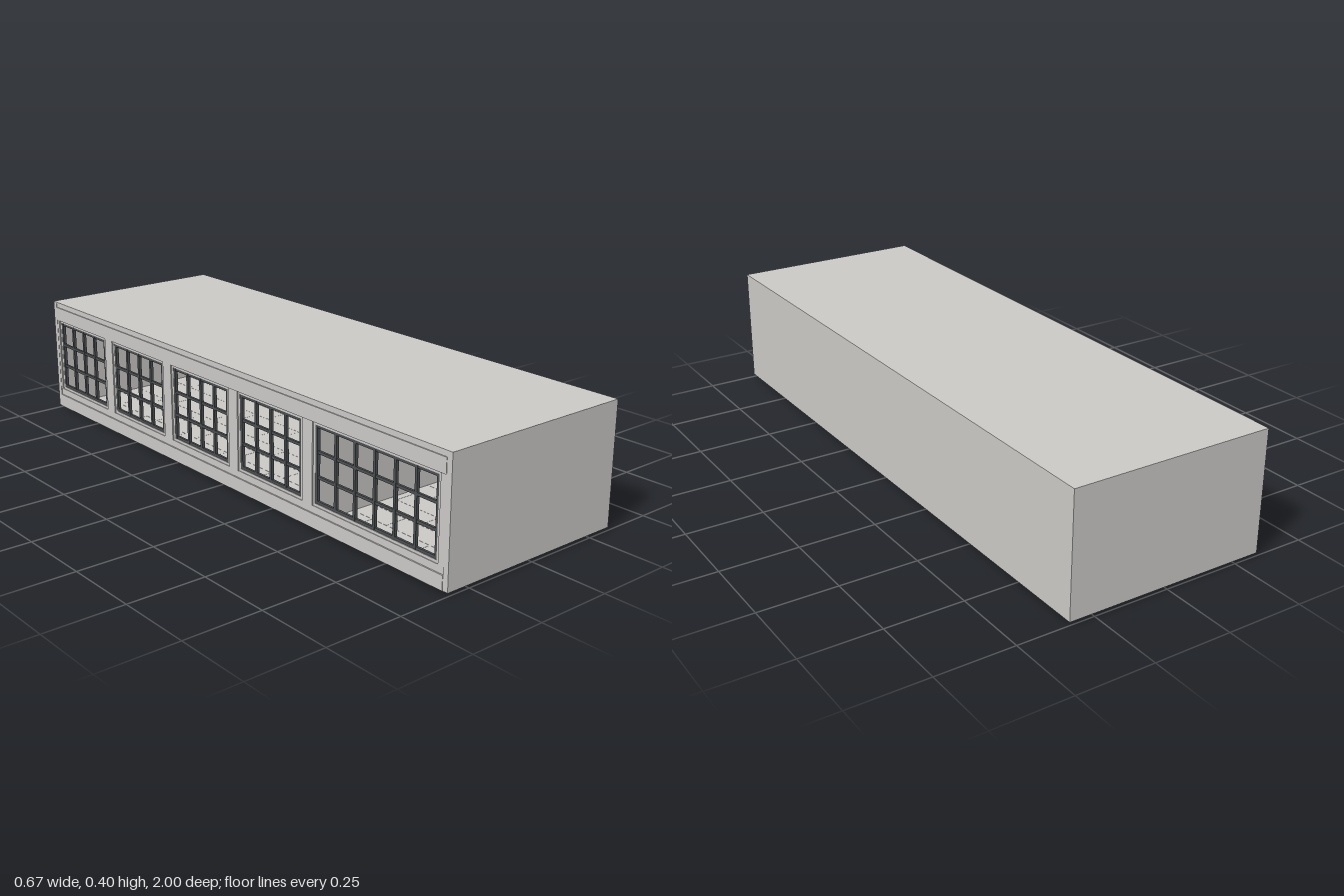
import * as THREE from 'three';

export function createModel() {
  const model = new THREE.Group();
  const plaster = new THREE.MeshStandardMaterial({ color: 0xcac9c6 });
  plaster.name = 'pale plaster';
  const darkBar = new THREE.MeshStandardMaterial({ color: 0x4c4f52 });
  darkBar.name = 'dark window bar';

  // Box given by its lower and upper corners
  function box(name, x0, x1, y0, y1, z0, z1, material = plaster, parent = model) {
    const mesh = new THREE.Mesh(new THREE.BoxGeometry(x1 - x0, y1 - y0, z1 - z0), material);
    mesh.position.set((x0 + x1) / 2, (y0 + y1) / 2, (z0 + z1) / 2);
    mesh.name = name;
    parent.add(mesh);
    return mesh;
  }

  const W = 0.332, base = 0.01, wallTop = 0.4, T = 0.019;

  // Roof, end walls and solid long wall in two lengths
  box('roof', -W, W, wallTop, 0.404, -1, 1);
  box('frontWall', -W, W - 0.004, base, wallTop, 1 - T, 1);
  box('backWall', -W, W - 0.004, base, wallTop, -1, -1 + T);
  box('longWallFront', W - T, W, base, wallTop, 0.44, 1 - T);
  box('longWallBack', W - T, W, base, wallTop, -1 + T, 0.44);
  for (const s of [-1, 1]) {
    box('cornerStrip', W - 0.004, W, base, wallTop, Math.min(s, s * (1 - T)), Math.max(s, s * (1 - T)));
  }

  // Partition between the two rooms
  box('partition', -W + T, W - T, base, wallTop, 0.415, 0.435);

  // Floor of staggered planks on a thin underlay
  const floor = new THREE.Group();
  floor.name = 'floor';
  model.add(floor);
  const FX = 0.313, FZ = 0.981, rows = 8, plank = 0.24, gap = 0.0008;
  box('underlay', -FX, FX, 0.0015, 0.0085, -FZ, FZ, plaster, floor);
  for (let i = 0; i < rows; i++) {
    const x0 = -FX + (i * 2 * FX) / rows, x1 = x0 + (2 * FX) / rows;
    const shift = ((i * 3) % 4) * plank / 4;
    for (let z = -FZ - shift; z < FZ; z += plank) {
      const z0 = Math.max(z, -FZ), z1 = Math.min(z + plank, FZ);
      if (z1 - z0 < 0.01) continue;
      box('plank', x0 + gap / 2, x1 - gap / 2, 0, 0.0102, z0 + gap / 2, z1 - gap / 2, plaster, floor);
    }
  }

  // Window wall: header, rails and sill wall
  const windowWall = new THREE.Group();
  windowWall.name = 'windowWall';
  model.add(windowWall);
  const E = 1 - T, out = -W - 0.0015, sill = 0.078, head = 0.338;
  box('header', -W + 0.002, -W + T, head, wallTop, -E, E, plaster, windowWall);
  box('topRail', out, -W + 0.002, head, 0.385, -E, E, plaster, windowWall);
  box('sillWall', -W + 0.003, -W + T, base, sill, -E, E, plaster, windowWall);
  box('bottomRail', out, -W + 0.003, base, 0.055, -E, E, plaster, windowWall);

  // Openings: start z, end z, number of pane columns
  const windows = [
    [-0.97, -0.66, 4], [-0.615, -0.305, 4], [-0.26, 0.05, 4], [0.095, 0.405, 4], [0.45, 0.96, 6],
  ];

  // Posts fill the spaces between openings
  let previous = -E;
  for (const [z0, z1] of [...windows, [E, E]]) {
    box('post', -W + 0.001, -W + T, sill, head, previous, z0, plaster, windowWall);
    previous = z1;
  }

  // Each window has a pale sash and a grid of dark bars
  for (const [z0, z1, columns] of windows) {
    const frame = new THREE.Group();
    frame.name = 'window';
    windowWall.add(frame);
    const f = 0.009, xa = -W + 0.005, xb = -W + T - 0.002;
    box('sashBottom', xa, xb, sill, sill + f, z0, z1, plaster, frame);
    box('sashTop', xa, xb, head - f, head, z0, z1, plaster, frame);
    box('sashSide', xa, xb, sill + f, head - f, z0, z0 + f, plaster, frame);
    box('sashSide', xa, xb, sill + f, head - f, z1 - f, z1, plaster, frame);
    const b = 0.0045, ba = -W + 0.006, bb = -W + 0.016;
    for (let c = 0; c <= columns; c++) {
      const z = z0 + f + b + ((z1 - z0 - 2 * f - 2 * b) * c) / columns;
      box('uprightBar', ba, bb, sill + f, head - f, z - b, z + b, darkBar, frame);
    }
    for (let r = 0; r <= 3; r++) {
      const y = sill + f + b + ((head - sill - 2 * f - 2 * b) * r) / 3;
      box('crossBar', ba + 0.001, bb - 0.001, y - b, y + b, z0 + f, z1 - f, darkBar, frame);
    }
  }

  return model;
}
